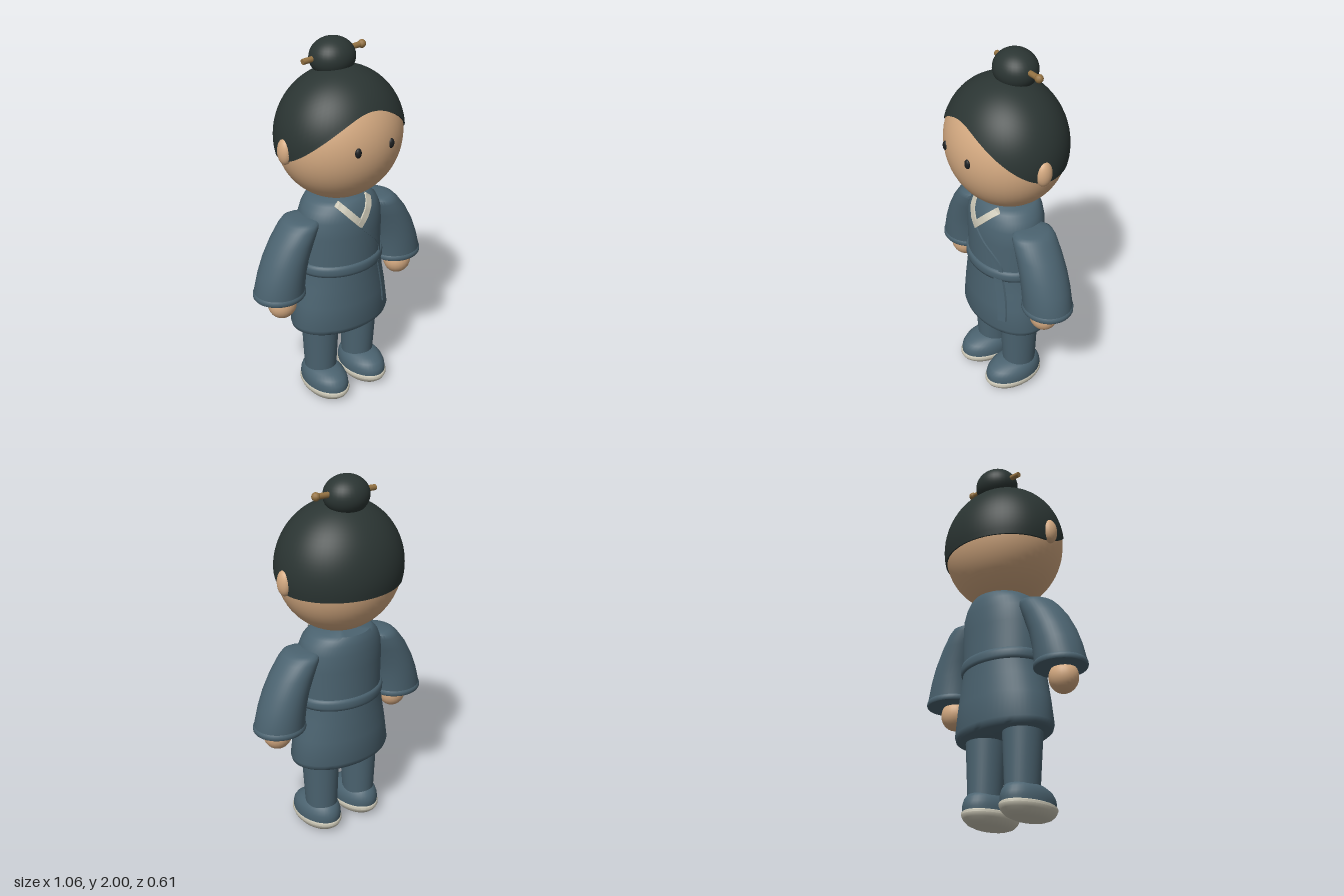
import * as THREE from 'three';
import { toCreasedNormals } from 'three/addons/utils/BufferGeometryUtils.js';

const material = (name, color) => {
  const m = new THREE.MeshStandardMaterial({ color });
  m.name = name;
  return m;
};

// Skin a stack of closed rings, with optional flat end caps
function loft(rings, caps = true) {
  const n = rings[0].length, pos = [], index = [];
  rings.forEach(r => r.forEach(p => pos.push(p.x, p.y, p.z)));
  for (let i = 0; i < rings.length - 1; i++) {
    for (let j = 0; j < n; j++) {
      const k = (j + 1) % n, a = i * n + j, b = i * n + k;
      index.push(a, a + n, b, b, a + n, b + n);
    }
  }
  if (caps) {
    [[0, false], [rings.length - 1, true]].forEach(([i, top]) => {
      const c = new THREE.Vector3();
      rings[i].forEach(p => c.addScaledVector(p, 1 / n));
      const ci = pos.length / 3;
      pos.push(c.x, c.y, c.z);
      for (let j = 0; j < n; j++) {
        const a = i * n + j, b = i * n + (j + 1) % n;
        index.push(ci, top ? b : a, top ? a : b);
      }
    });
  }
  const g = new THREE.BufferGeometry();
  g.setAttribute('position', new THREE.Float32BufferAttribute(pos, 3));
  g.setIndex(index);
  return toCreasedNormals(g, 0.9);
}

// Elliptical horizontal sections: [y, rx, rz, cx, cz]
function sections(rows, n = 40) {
  return loft(rows.map(([y, rx, rz, cx = 0, cz = 0]) =>
    Array.from({ length: n }, (_, j) => {
      const t = j / n * Math.PI * 2;
      return new THREE.Vector3(cx + rx * Math.cos(t), y, cz + rz * Math.sin(t));
    })));
}

const ROBE = [
  [0.43, 0.275, 0.18], [0.44, 0.288, 0.19], [0.465, 0.295, 0.197], [0.6, 0.275, 0.193],
  [0.7, 0.256, 0.188], [0.78, 0.24, 0.185], [0.85, 0.237, 0.183], [1.0, 0.24, 0.185],
  [1.09, 0.234, 0.183, 0, -0.002], [1.14, 0.212, 0.173, 0, -0.006],
  [1.17, 0.185, 0.16, 0, -0.012], [1.187, 0.16, 0.148, 0, -0.015],
];

// Depth of the robe's front at a given x and y
function robeFront(x, y) {
  let i = 0;
  while (i < ROBE.length - 2 && ROBE[i + 1][0] < y) i++;
  const a = ROBE[i], b = ROBE[i + 1];
  const t = THREE.MathUtils.clamp((y - a[0]) / (b[0] - a[0]), 0, 1);
  const mix = k => THREE.MathUtils.lerp(a[k] || 0, b[k] || 0, t);
  return mix(4) + mix(2) * Math.sqrt(Math.max(0, 1 - (x / mix(1)) ** 2));
}

// Thin band that follows the front of the robe
function band(points, width, lift = 0.008, steps = 16) {
  const curve = new THREE.CatmullRomCurve3(points.map(([x, y]) => new THREE.Vector3(x, y, 0)));
  const rings = [];
  for (let i = 0; i <= steps; i++) {
    const p = curve.getPoint(i / steps), t = curve.getTangent(i / steps);
    rings.push([[1, -0.006], [1, lift], [-1, lift], [-1, -0.006]].map(([s, d]) => {
      const x = p.x + s * t.y * width / 2, y = p.y - s * t.x * width / 2;
      return new THREE.Vector3(x, y, robeFront(x, y) + d);
    }));
  }
  return loft(rings);
}

// Hair cap: an ellipsoid cut along a line that arches over the face
function hairCap() {
  const n = 64, rows = 20, rings = [], cy = 1.52, rx = 0.345, ry = 0.35, rz = 0.308;
  for (let i = -1; i <= rows; i++) {
    const scale = i < 0 ? 0.93 : 1, v = 1 - Math.max(i, 0) / rows;
    rings.push(Array.from({ length: n }, (_, j) => {
      const t = j / n * Math.PI * 2;
      const f = Math.abs(Math.atan2(Math.cos(t), Math.sin(t)));
      const edge = 1.44 + 0.135 * (1 + Math.cos(Math.min(Math.PI, f * 1.8)));
      const phi = v * Math.acos((edge - cy) / ry), r = Math.sin(phi) * scale;
      return new THREE.Vector3(rx * r * Math.cos(t), cy + ry * Math.cos(phi), rz * r * Math.sin(t));
    }));
  }
  return loft(rings, false);
}

export function createModel() {
  const group = new THREE.Group();
  const skin = material('skin', 0xd6ab82);
  const cloth = material('blue grey cloth', 0x4b6370);
  const hair = material('dark hair', 0x2b3533);
  const cream = material('cream', 0xc9c5b4);
  const wood = material('wood', 0x957343);
  const black = material('eye black', 0x1c1f21);

  const add = (name, geometry, mat) => {
    const m = new THREE.Mesh(geometry, mat);
    m.name = name;
    group.add(m);
    return m;
  };
  const ball = (name, mat, [x, y, z], [rx, ry, rz], w = 24) => {
    const m = add(name, new THREE.SphereGeometry(1, w, Math.round(w * 0.7)), mat);
    m.position.set(x, y, z);
    m.scale.set(rx, ry, rz);
    return m;
  };

  // Head, hair and bun
  ball('head', skin, [0, 1.52, 0], [0.336, 0.34, 0.302], 48);
  add('hair', hairCap(), hair);
  ball('bun', hair, [0, 1.9, -0.057], [0.121, 0.1, 0.111], 32);

  // Hairpin with a round end
  const pin = add('hairpin', new THREE.CylinderGeometry(0.015, 0.015, 0.36, 10), wood);
  pin.position.set(0.005, 1.914, -0.062);
  pin.rotation.z = -Math.PI / 2 + 0.055;
  ball('hairpinEnd', wood, [0.187, 1.924, -0.062], [0.022, 0.022, 0.022], 12);

  // Robe, belt and trimmings
  add('robe', sections(ROBE, 56), cloth);
  add('belt', sections([
    [0.78, 0.236, 0.182], [0.785, 0.246, 0.191], [0.8, 0.251, 0.195],
    [0.825, 0.251, 0.195], [0.84, 0.246, 0.191], [0.846, 0.234, 0.18],
  ], 56), cloth);
  add('collarRight', band([[-0.1, 1.185], [-0.05, 1.125], [0.005, 1.065]], 0.036), cream);
  add('collarLeft', band([[0.1, 1.185], [0.045, 1.12], [-0.012, 1.06]], 0.036, 0.009), cream);
  add('lapelEdge', band([[0, 1.055], [0.06, 0.995], [0.12, 0.935], [0.155, 0.88], [0.165, 0.83]], 0.016), cloth);
  add('beltTail', band([[0.152, 0.8], [0.172, 0.7], [0.185, 0.62], [0.192, 0.53]], 0.038, 0.012), cloth);

  for (const s of [-1, 1]) {
    const side = s > 0 ? 'Left' : 'Right';
    // Face
    ball('eye' + side, black, [s * 0.101, 1.53, 0.286], [0.018, 0.026, 0.014], 16);
    ball('ear' + side, skin, [s * 0.335, 1.5, 0.003], [0.034, 0.068, 0.044], 20);

    // Wide sleeve, cuff and hand
    add('sleeve' + side, sections([
      [0.71, 0.135, 0.126, 0.389], [0.74, 0.135, 0.127, 0.388], [0.83, 0.127, 0.127, 0.37],
      [0.91, 0.12, 0.125, 0.345], [1.0, 0.113, 0.121, 0.303], [1.07, 0.1, 0.117, 0.262],
      [1.095, 0.09, 0.109, 0.247], [1.106, 0.075, 0.09, 0.24], [1.11, 0.045, 0.05, 0.235],
    ].map(([y, rx, rz, cx]) => [y, rx, rz, s * cx])), cloth);
    add('cuff' + side, sections([
      [0.7, 0.137, 0.128], [0.706, 0.141, 0.132], [0.722, 0.141, 0.132], [0.732, 0.134, 0.126],
    ].map(([y, rx, rz]) => [y, rx, rz, s * 0.389])), cloth);
    ball('hand' + side, skin, [s * 0.388, 0.658, 0.022], [0.078, 0.083, 0.073]);

    // Leg and shoe
    add('leg' + side, sections([
      [0.12, 0.084, 0.092, s * 0.128, -0.004], [0.46, 0.102, 0.107, s * 0.13, 0],
    ], 32), cloth);
    add('shoe' + side, sections([
      [0.05, 0.108, 0.162, s * 0.13, 0.037], [0.08, 0.11, 0.167, s * 0.13, 0.036],
      [0.105, 0.108, 0.163, s * 0.13, 0.034], [0.13, 0.1, 0.149, s * 0.13, 0.029],
      [0.15, 0.084, 0.122, s * 0.13, 0.018], [0.162, 0.06, 0.088, s * 0.13, 0.008],
      [0.167, 0.03, 0.045, s * 0.13, 0],
    ], 36), cloth);
    add('sole' + side, sections([
      [0, 0.07, 0.11, s * 0.13, 0.037], [0.012, 0.092, 0.142, s * 0.13, 0.037],
      [0.03, 0.106, 0.162, s * 0.13, 0.037], [0.05, 0.114, 0.173, s * 0.13, 0.037],
      [0.06, 0.114, 0.173, s * 0.13, 0.037], [0.067, 0.108, 0.165, s * 0.13, 0.037],
    ], 36), cream);
  }
  return group;
}
